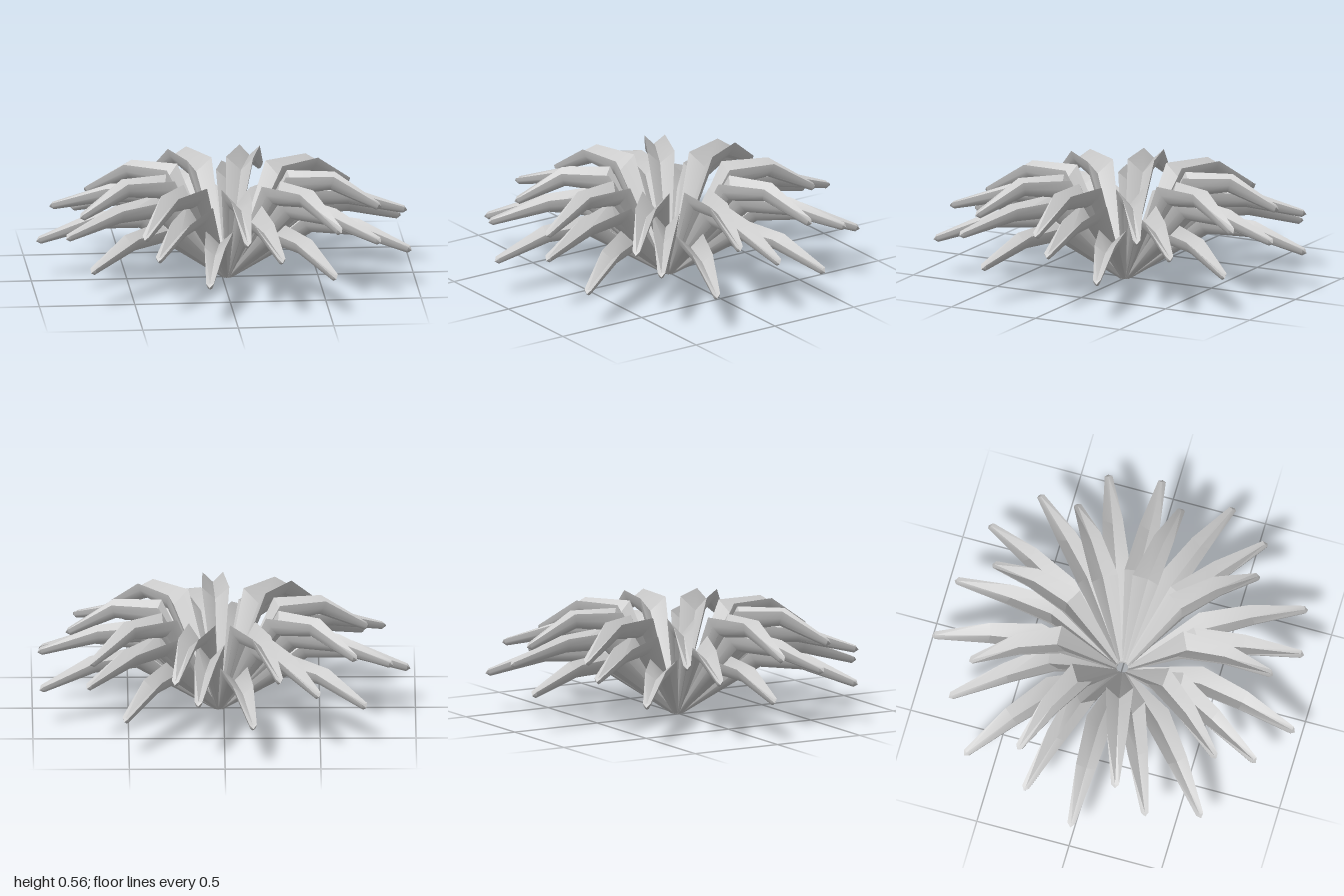
import * as THREE from 'three';
import { toCreasedNormals } from 'three/addons/utils/BufferGeometryUtils.js';

const LEAVES_PER_TIER = 9;
const HALF_WIDTH = [0.012, 0.072, 0.054, 0.02];
const CHANNEL_DEPTH = [0.5, 0.7, 0.6, 0.1]; // share of the section height

// Rim and keel lines as [distance from centre, height] at four stations
const TIERS = [
  {
    name: 'lowerLeaf', angle: 20,
    rim: [[0.03, 0.02], [0.43, 0.365], [0.7, 0.35], [0.985, 0.235]],
    keel: [[0.03, 0], [0.46, 0.275], [0.69, 0.275], [0.975, 0.2]],
  },
  {
    name: 'middleLeaf', angle: 37,
    rim: [[0.03, 0.02], [0.37, 0.475], [0.64, 0.45], [0.935, 0.345]],
    keel: [[0.03, 0], [0.42, 0.37], [0.63, 0.37], [0.925, 0.31]],
  },
  {
    name: 'upperLeaf', angle: 7,
    rim: [[0.03, 0.02], [0.31, 0.56], [0.56, 0.56], [0.795, 0.405]],
    keel: [[0.03, 0], [0.36, 0.45], [0.54, 0.475], [0.78, 0.37]],
  },
];

// A boat-shaped leaf along +x: sharp rims, rounded belly, channel on top
function leafGeometry({ rim, keel }) {
  const positions = [];
  const index = [];
  const n = 8;
  rim.forEach((r, i) => {
    const w = HALF_WIDTH[i];
    const section = [
      [-w, 0], [-0.85 * w, 0.45], [-0.5 * w, 0.82], [0, 1],
      [0.5 * w, 0.82], [0.85 * w, 0.45], [w, 0], [0, CHANNEL_DEPTH[i]],
    ];
    for (const [z, t] of section) {
      positions.push(
        THREE.MathUtils.lerp(r[0], keel[i][0], t),
        THREE.MathUtils.lerp(r[1], keel[i][1], t), z);
    }
  });
  const last = (rim.length - 1) * n;
  for (let i = 0; i < last; i += n) {
    for (let j = 0; j < n; j++) {
      const k = (j + 1) % n;
      index.push(i + j, i + n + j, i + n + k, i + j, i + n + k, i + k);
    }
  }
  // Slightly domed tip and closed base
  const tip = positions.length / 3;
  const r = rim[rim.length - 1], b = keel[keel.length - 1];
  positions.push((r[0] + b[0]) / 2 + 0.02, (r[1] + b[1]) / 2 - 0.003, 0);
  positions.push(0.03, 0.01, 0);
  for (let j = 0; j < n; j++) {
    const k = (j + 1) % n;
    index.push(tip, last + k, last + j, tip + 1, j, k);
  }
  const geometry = new THREE.BufferGeometry();
  geometry.setAttribute('position', new THREE.Float32BufferAttribute(positions, 3));
  geometry.setIndex(index);
  return toCreasedNormals(geometry, THREE.MathUtils.degToRad(32));
}

export function createModel() {
  const model = new THREE.Group();
  model.name = 'leafRosette';
  const material = new THREE.MeshStandardMaterial({ color: 0xcccccc, side: THREE.DoubleSide });

  // Three tiers of leaves, each fanned evenly around the centre
  for (const tier of TIERS) {
    const geometry = leafGeometry(tier);
    for (let i = 0; i < LEAVES_PER_TIER; i++) {
      const leaf = new THREE.Mesh(geometry, material);
      leaf.name = tier.name;
      leaf.position.x = 0.025;
      leaf.rotation.y = -THREE.MathUtils.degToRad(tier.angle + (i * 360) / LEAVES_PER_TIER);
      model.add(leaf);
    }
  }
  return model;
}
